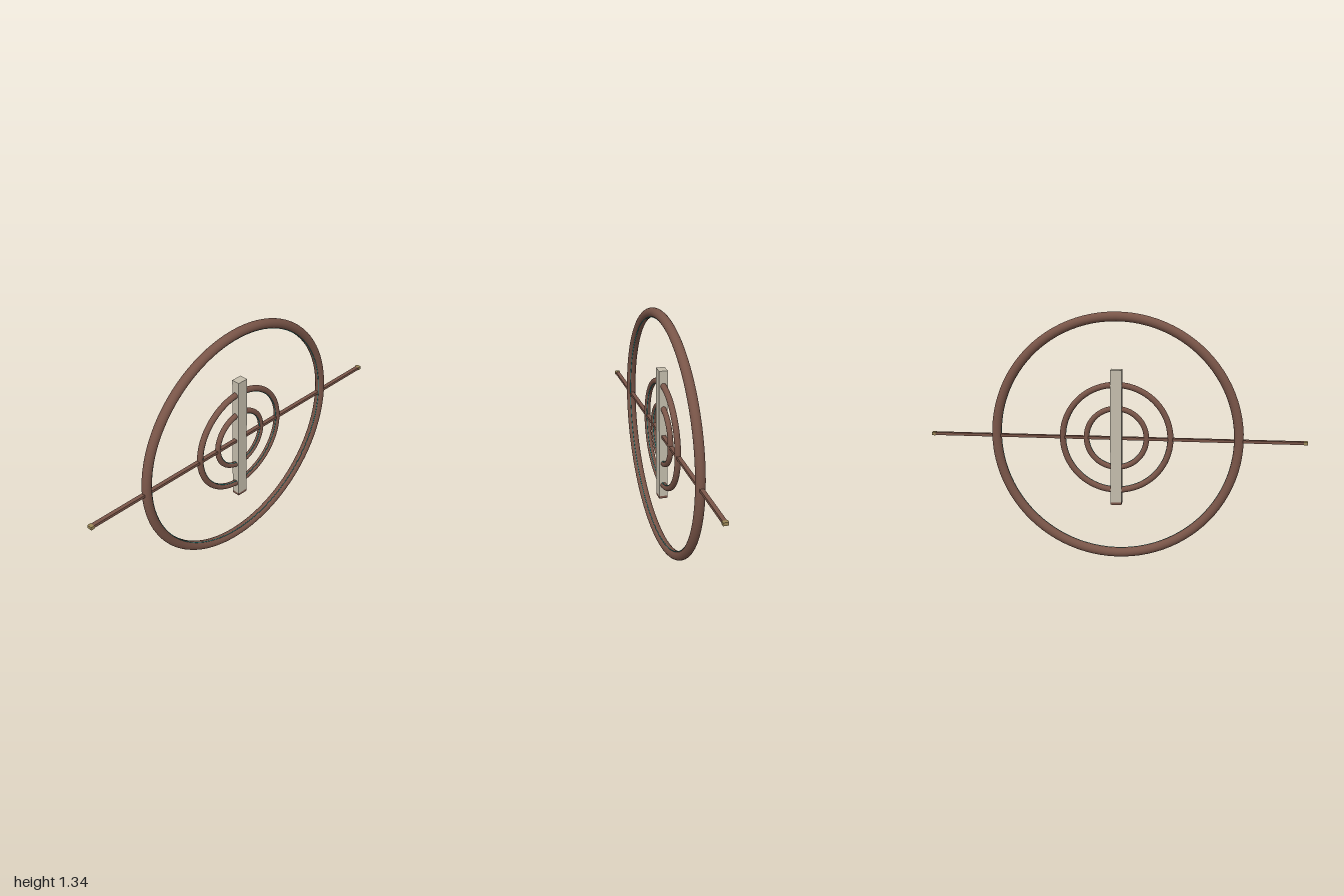
import * as THREE from 'three';

const mat = (name, color) => {
  const m = new THREE.MeshStandardMaterial({ color });
  m.name = name;
  return m;
};

export function createModel() {
  const group = new THREE.Group();
  const brown = mat('brown', 0x795548);
  const stone = mat('stone', 0xc4bdac);
  const teal = mat('teal', 0x1f8a8a);
  const brass = mat('brass', 0x9a8656);
  const CY = 0.672;

  const add = (name, geometry, material, x = 0, y = CY, z = 0) => {
    const mesh = new THREE.Mesh(geometry, material);
    mesh.name = name;
    mesh.position.set(x, y, z);
    group.add(mesh);
  };

  // Concentric rings, each with a thin teal line on the front of its inner wall
  const rings = [
    ['outer', 0.645, 0.025],
    ['middle', 0.287, 0.016],
    ['inner', 0.16, 0.0145],
  ];
  for (const [name, radius, tube] of rings) {
    add(name + 'Ring', new THREE.TorusGeometry(radius, tube, 20, 96), brown);
    const a = 0.42;
    add(name + 'RingInlay', new THREE.TorusGeometry(radius - tube * Math.cos(a), 0.002, 6, 96),
      teal, 0, CY, tube * Math.sin(a));
  }

  // Upright bar with a brown foot
  add('uprightBar', new THREE.BoxGeometry(0.06, 0.72, 0.046), stone, 0, 0.68);
  add('barFoot', new THREE.BoxGeometry(0.06, 0.014, 0.046), brown, 0, 0.313);

  // Horizontal rod with brass ends
  add('crossRod', new THREE.BoxGeometry(1.96, 0.015, 0.022), brown);
  for (const side of [-1, 1]) {
    add(side > 0 ? 'leftRodEnd' : 'rightRodEnd', new THREE.BoxGeometry(0.02, 0.017, 0.028), brass, side * 0.99);
  }

  return group;
}
